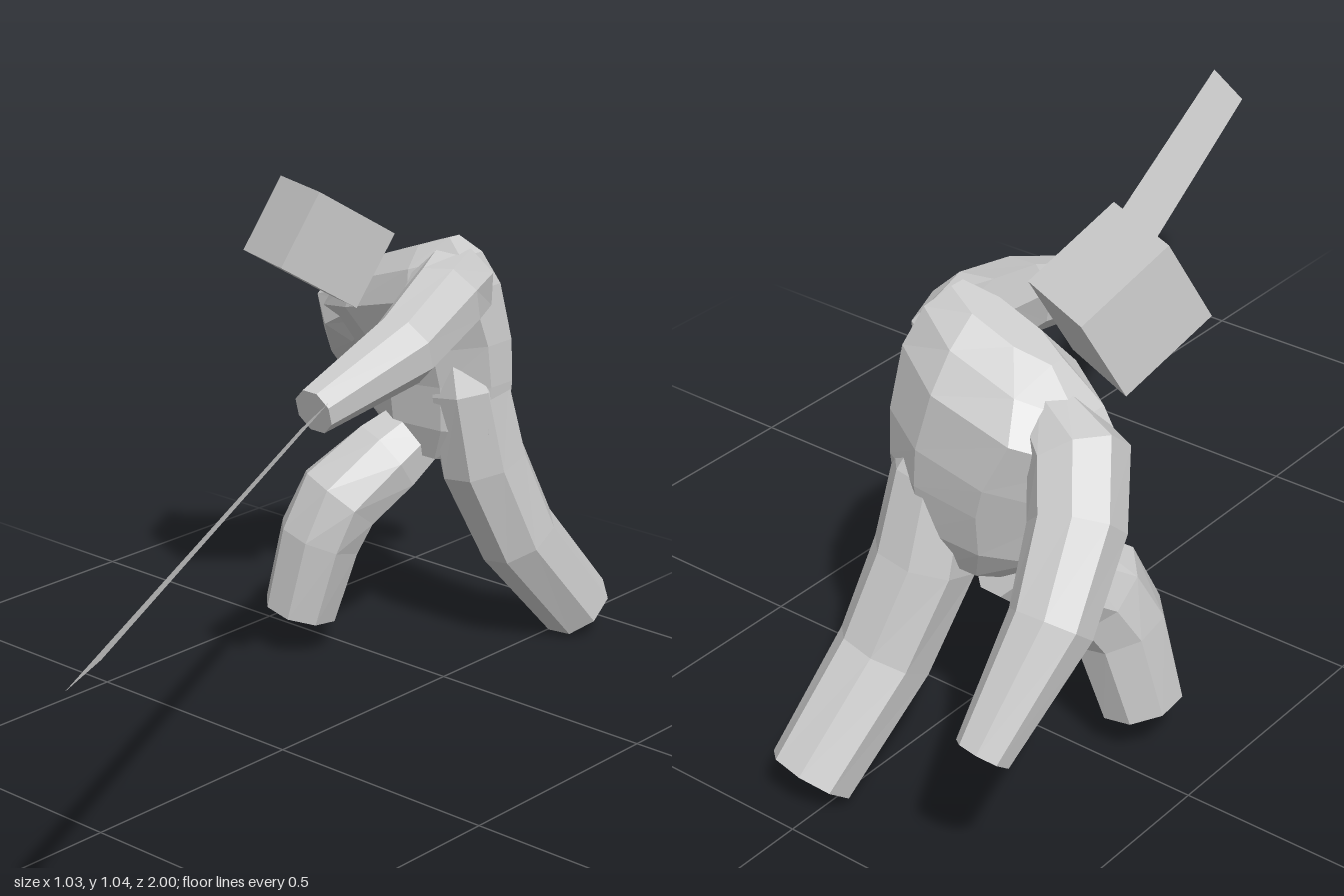
import * as THREE from 'three';

const V = (x, y, z) => new THREE.Vector3(x, y, z);
const material = new THREE.MeshStandardMaterial({ color: 0xcccccc, flatShading: true });
const SIDES = 8;

// Closed skin over rings { c, u, v }: centre and two half-axes, u x v pointing along the loft
function loft(name, rings) {
  const pos = [], index = [];
  for (const { c, u, v } of rings) {
    for (let j = 0; j < SIDES; j++) {
      const a = ((j + 0.5) / SIDES) * Math.PI * 2;
      const p = c.clone().addScaledVector(u, Math.cos(a)).addScaledVector(v, Math.sin(a));
      pos.push(p.x, p.y, p.z);
    }
  }
  for (let i = 0; i < rings.length - 1; i++) {
    for (let j = 0; j < SIDES; j++) {
      const k = (j + 1) % SIDES, a = i * SIDES, b = a + SIDES;
      index.push(a + j, a + k, b + k, a + j, b + k, b + j);
    }
  }
  const last = (rings.length - 1) * SIDES;
  for (let j = 1; j < SIDES - 1; j++) {
    index.push(0, j + 1, j, last, last + j, last + j + 1);
  }
  const g = new THREE.BufferGeometry();
  g.setAttribute('position', new THREE.Float32BufferAttribute(pos, 3));
  g.setIndex(index);
  g.computeVertexNormals();
  const mesh = new THREE.Mesh(g, material);
  mesh.name = name;
  return mesh;
}

// Faceted limb along joints given as [x, y, z, radius]
function limb(name, joints) {
  const pts = joints.map(([x, y, z]) => V(x, y, z));
  const dir = (i) => pts[i + 1].clone().sub(pts[i]).normalize();
  const n = pts.length - 1;
  return loft(name, pts.map((c, i) => {
    const t = i === 0 ? dir(0) : i === n ? dir(n - 1) : dir(i - 1).add(dir(i)).normalize();
    const u = V(1, 0, 0).addScaledVector(t, -t.x).normalize();
    const v = t.clone().cross(u);
    const r = joints[i][3];
    return { c, u: u.multiplyScalar(r), v: v.multiplyScalar(r) };
  }));
}

export function createModel() {
  const group = new THREE.Group();

  // Torso, leaning forward at the chest: [x, y, z, half width, half depth, sideways roll]
  group.add(loft('torso', [
    [-0.14, 0.44, -0.635, 0.09, 0.055, 0],
    [-0.14, 0.51, -0.64, 0.17, 0.08, 0.03],
    [-0.145, 0.60, -0.645, 0.18, 0.09, 0.1],
    [-0.16, 0.67, -0.64, 0.195, 0.1, 0.2],
    [-0.2, 0.775, -0.61, 0.225, 0.12, 0.25],
    [-0.19, 0.84, -0.59, 0.19, 0.09, 0.32],
    [-0.165, 0.89, -0.575, 0.125, 0.04, 0.36],
  ].map(([x, y, z, w, d, roll]) => ({
    c: V(x, y, z),
    u: V(Math.cos(roll), Math.sin(roll), 0).multiplyScalar(w),
    v: V(0, 0, -d),
  }))));

  // Arms
  group.add(limb('rightArm', [
    [-0.27, 0.765, -0.6, 0.06], [-0.365, 0.72, -0.635, 0.09],
    [-0.415, 0.64, -0.705, 0.085], [-0.445, 0.52, -0.815, 0.075], [-0.416, 0.332, -0.963, 0.05],
  ]));
  group.add(limb('leftArm', [
    [-0.12, 0.81, -0.62, 0.05], [-0.055, 0.825, -0.57, 0.088], [-0.015, 0.815, -0.49, 0.083],
    [0.032, 0.765, -0.31, 0.074], [0.025, 0.697, -0.06, 0.047],
  ]));

  // Legs
  group.add(limb('rightLeg', [
    [-0.2, 0.47, -0.64, 0.075], [-0.225, 0.42, -0.565, 0.09], [-0.27, 0.345, -0.47, 0.095],
    [-0.295, 0.26, -0.437, 0.09], [-0.33, 0.092, -0.415, 0.08],
  ]));
  group.add(limb('leftLeg', [
    [-0.08, 0.68, -0.63, 0.06], [-0.062, 0.6, -0.64, 0.087], [-0.048, 0.43, -0.675, 0.096],
    [-0.01, 0.25, -0.75, 0.09], [0.033, 0.053, -0.912, 0.081],
  ]));

  // Head: tilted block held in front of the shoulders
  const headGeometry = new THREE.BoxGeometry(1, 1, 1);
  headGeometry.applyMatrix4(new THREE.Matrix4()
    .makeBasis(V(0.168, 0.005, 0.068), V(0.04, 0.15, -0.07), V(-0.06, 0.105, 0.162))
    .setPosition(-0.287, 0.908, -0.42));
  const head = new THREE.Mesh(headGeometry, material);
  head.name = 'head';
  group.add(head);

  // Blade: one flat strip gripped by the left hand
  const bladeGeometry = new THREE.PlaneGeometry(1, 1);
  [V(0.0, 0.658, -0.05), V(0.06, 0.725, -0.07), V(0.455, 0.58, 1.0), V(0.515, 0.645, 0.975)]
    .forEach((p, i) => bladeGeometry.attributes.position.setXYZ(i, p.x, p.y, p.z));
  bladeGeometry.computeVertexNormals();
  const bladeMaterial = material.clone();
  bladeMaterial.side = THREE.DoubleSide;
  const blade = new THREE.Mesh(bladeGeometry, bladeMaterial);
  blade.name = 'blade';
  group.add(blade);

  return group;
}
